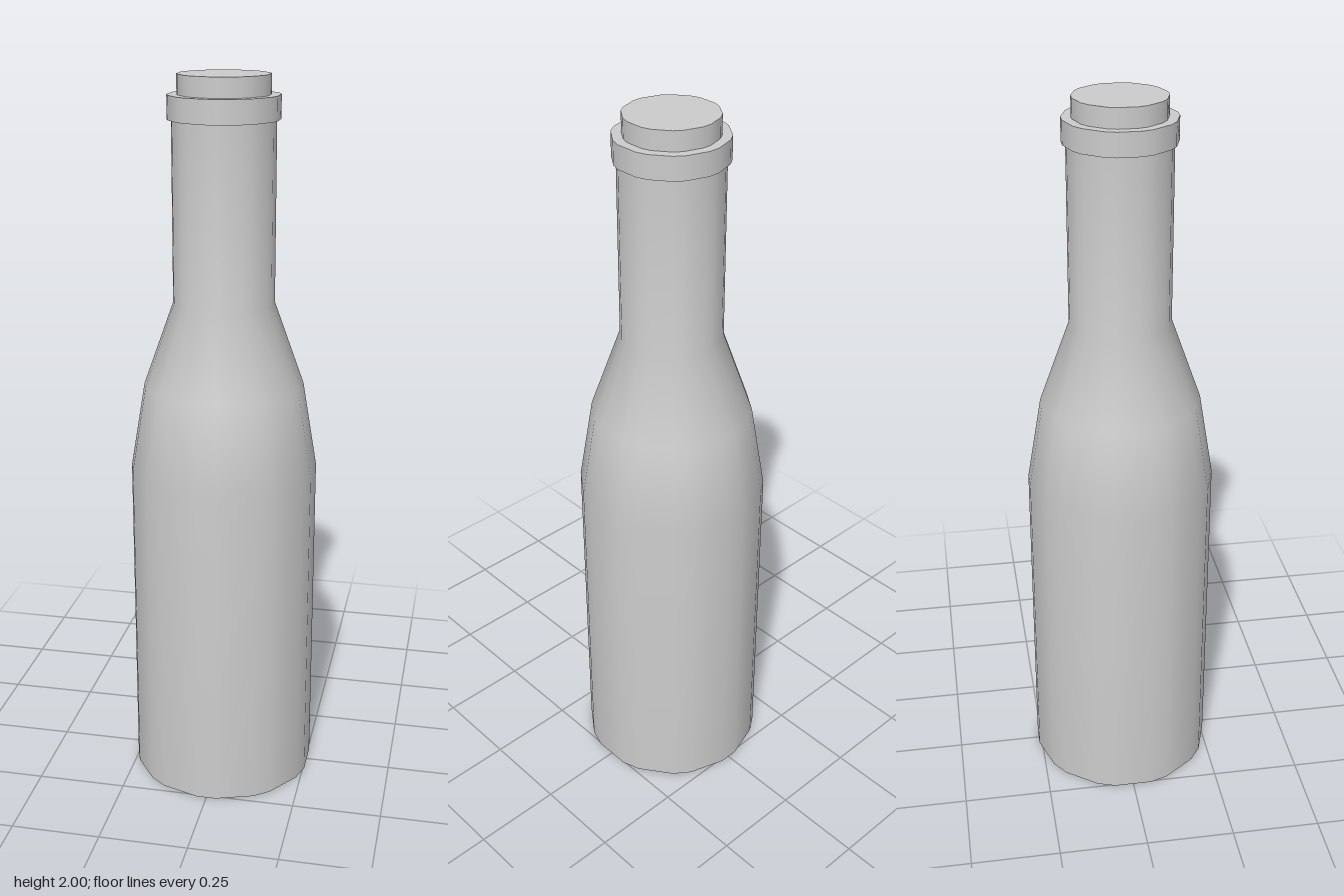
import * as THREE from 'three';

const SIDES = 20;
const material = new THREE.MeshStandardMaterial({ color: 0xcccccc, side: THREE.DoubleSide });

// Turned surface on a ten-sided plan with bevelled corners (alternating 12 and 24 degree sides)
function turned(profile) {
  const points = profile.map(([r, y]) => new THREE.Vector2(r, y));
  const geometry = new THREE.LatheGeometry(points, SIDES, THREE.MathUtils.degToRad(9));
  const axis = new THREE.Vector3(0, 1, 0);
  const v = new THREE.Vector3();
  const { position, normal } = geometry.attributes;
  for (let i = 0; i < position.count; i++) {
    const column = Math.floor(i / points.length);
    const turn = THREE.MathUtils.degToRad(column % 2 ? 3 : -3);
    for (const attribute of [position, normal]) {
      v.fromBufferAttribute(attribute, i).applyAxisAngle(axis, turn);
      attribute.setXYZ(i, v.x, v.y, v.z);
    }
  }
  return geometry;
}

// A part made of several smooth bands that meet at sharp edges
function part(name, ...bands) {
  const group = new THREE.Group();
  group.name = name;
  bands.forEach((band, i) => {
    const mesh = new THREE.Mesh(turned(band), material);
    mesh.name = `${name}Surface${i + 1}`;
    group.add(mesh);
  });
  return group;
}

export function createModel() {
  const model = new THREE.Group();
  model.name = 'bottle';

  // Body, sloping shoulder and neck
  model.add(part('body', [[0.26, 0], [0.26, 0.93], [0.22, 1.17], [0.138, 1.4], [0.138, 1.89]]));

  // Hollow pushed up into the base
  model.add(part('base', [[0, 0.08], [0.26, 0]]));

  // Collar around the mouth: underside, rim, top
  model.add(part('collar',
    [[0.13, 1.885], [0.149, 1.885]],
    [[0.149, 1.885], [0.149, 1.948]],
    [[0.149, 1.948], [0.12, 1.948]]));

  // Stopper: side and flat top
  model.add(part('stopper',
    [[0.123, 1.94], [0.123, 2]],
    [[0.123, 2], [0, 2]]));

  return model;
}
